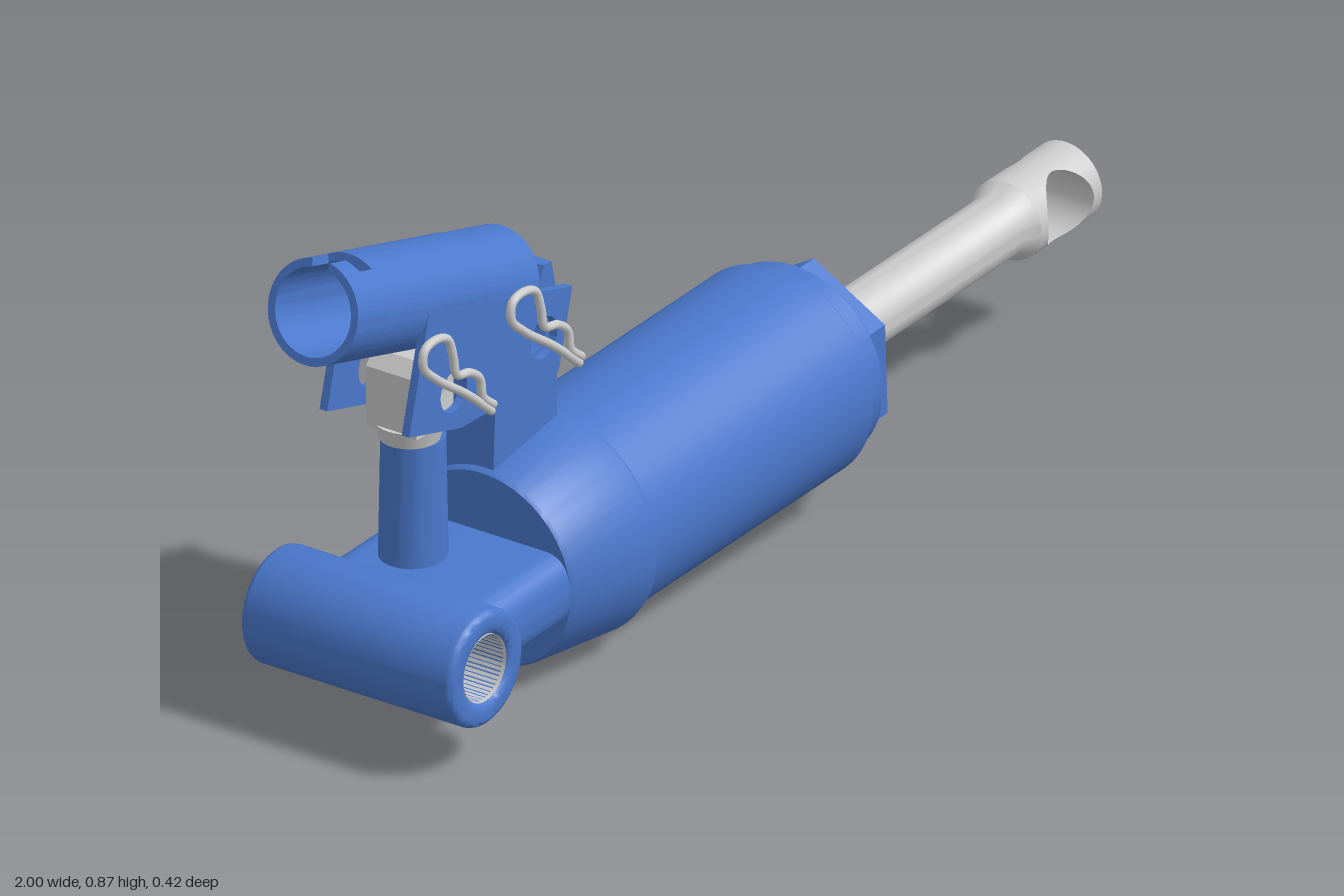
import * as THREE from 'three';
import { toCreasedNormals } from 'three/addons/utils/BufferGeometryUtils.js';
import { ParametricGeometry } from 'three/addons/geometries/ParametricGeometry.js';

const blue = new THREE.MeshStandardMaterial({ color: 0x4a78cc });
const grey = new THREE.MeshStandardMaterial({ color: 0xcccccc });
const greyThin = new THREE.MeshStandardMaterial({ color: 0xcccccc, side: THREE.DoubleSide });

function add(parent, name, geo, mat = blue, crease = 0.6) {
  const mesh = new THREE.Mesh(crease ? toCreasedNormals(geo, crease) : geo, mat);
  mesh.name = name;
  parent.add(mesh);
  return mesh;
}

// Solid of revolution about the x axis from [x, radius] pairs
function turned(profile, segments = 64) {
  const pts = profile.map(([x, r]) => new THREE.Vector2(r, x));
  return new THREE.LatheGeometry(pts, segments).rotateZ(-Math.PI / 2);
}

// Flat polygon with round holes [x, y, r], extruded from z0 to z1
function plate(points, holes, z0, z1) {
  const shape = new THREE.Shape(points.map(([x, y]) => new THREE.Vector2(x, y)));
  for (const [x, y, r] of holes) {
    shape.holes.push(new THREE.Path().absarc(x, y, r, 0, Math.PI * 2, true));
  }
  return new THREE.ExtrudeGeometry(shape, { depth: z1 - z0, bevelEnabled: false, curveSegments: 24 })
    .translate(0, 0, z0);
}

// Curved wall along x, running between two angles
function wall(rOut, rIn, a0, a1, x0, x1) {
  const shape = new THREE.Shape();
  shape.absarc(0, 0, rOut, a0, a1, false);
  shape.absarc(0, 0, rIn, a1, a0, true);
  return new THREE.ExtrudeGeometry(shape, { depth: x1 - x0, bevelEnabled: false, curveSegments: 48 })
    .rotateY(Math.PI / 2).translate(x0, 0, 0);
}

// Cylinder end with a cross hole along z: outer skin left and right of the hole, plus bore
function addRodEye(parent, cx, r, R, left, right) {
  const skin = (sign, len) => new ParametricGeometry((u, v, p) => {
    const a = u * Math.PI * 2, y = r * Math.cos(a);
    const edge = Math.sqrt(Math.max(0, R * R - y * y));
    p.set(cx + sign * (edge + (len - edge) * v), y, r * Math.sin(a));
  }, 96, 4);
  const bore = new ParametricGeometry((u, v, p) => {
    const a = u * Math.PI * 2, y = R * Math.sin(a);
    p.set(cx + R * Math.cos(a), y, (2 * v - 1) * Math.sqrt(r * r - y * y));
  }, 64, 4);
  add(parent, 'rodEyeInner', skin(-1, left), greyThin, 0);
  add(parent, 'rodEyeOuter', skin(1, right), greyThin, 0);
  add(parent, 'rodEyeBore', bore, greyThin, 0);
  add(parent, 'rodEndCap', turned([[cx + right, r], [cx + right + 0.006, r - 0.006], [cx + right + 0.006, 0]]), greyThin);
}

function createCylinder() {
  const g = new THREE.Group();
  g.name = 'hydraulicCylinder';
  g.position.set(-0.865, 0.187, 0);
  g.rotation.z = 0.0436;

  // Cross tube for the rear mounting pin
  const ring = new THREE.Shape().absarc(0, 0, 0.088, 0, Math.PI * 2, false);
  ring.holes.push(new THREE.Path().absarc(0, 0, 0.07, 0, Math.PI * 2, true));
  add(g, 'mountTube', new THREE.ExtrudeGeometry(ring, {
    depth: 0.396, bevelThickness: 0.012, bevelSize: 0.012, bevelSegments: 3, curveSegments: 32,
  }).translate(0, 0, -0.198));
  add(g, 'mountBushing', new THREE.CylinderGeometry(0.058, 0.058, 0.41, 48, 1, true).rotateX(Math.PI / 2), greyThin);

  // Neck with rounded sides, joining the tube to the body
  const neck = new THREE.Shape();
  neck.moveTo(-0.12, -0.064);
  neck.lineTo(0.12, -0.064);
  neck.quadraticCurveTo(0.17, -0.064, 0.17, 0);
  neck.quadraticCurveTo(0.17, 0.064, 0.12, 0.064);
  neck.lineTo(-0.12, 0.064);
  neck.quadraticCurveTo(-0.17, 0.064, -0.17, 0);
  neck.quadraticCurveTo(-0.17, -0.064, -0.12, -0.064);
  add(g, 'neck', new THREE.ExtrudeGeometry(neck, { depth: 0.23, bevelEnabled: false })
    .rotateY(Math.PI / 2).translate(0.07, 0, 0));

  // Conical base, barrel and gland
  add(g, 'barrel', turned([
    [0.28, 0], [0.28, 0.17], [0.287, 0.175], [0.47, 0.2], [0.478, 0.198], [0.478, 0.187],
    [1.078, 0.187], [1.086, 0.18], [1.086, 0.172], [1.125, 0.172], [1.13, 0.168], [1.13, 0],
  ], 80));
  add(g, 'hexNut', new THREE.CylinderGeometry(0.16, 0.16, 0.06, 6)
    .rotateZ(-Math.PI / 2).rotateX(Math.PI / 2).translate(1.15, 0, 0));

  // Piston rod with flared, cross-drilled end
  add(g, 'pistonRod', turned([[1.15, 0], [1.15, 0.055], [1.665, 0.055], [1.695, 0.07]], 48), grey);
  addRodEye(g, 1.775, 0.07, 0.062, 0.08, 0.084);
  return g;
}

function createHandleSocket() {
  const g = new THREE.Group();
  g.name = 'handleSocket';
  g.position.set(-0.98, 0.793, -0.052);
  g.rotation.z = -0.262;
  const R = 0.088, r = 0.074, up = Math.PI / 2;

  // Tube with a T-shaped slot at its open end
  for (const [gap, x0, x1] of [[0.2, 0, 0.045], [0.55, 0.045, 0.08], [0, 0.08, 0.37]]) {
    add(g, 'socketTube', wall(R, r, up + gap, up + Math.PI * 2 - gap, x0, x1));
  }
  // Half-round roof of the channel and its two drilled side plates
  add(g, 'channelRoof', wall(R - 0.001, r - 0.002, 0, Math.PI, 0.37, 0.51));
  const outline = [[0.2, 0], [0.2, -0.208], [0.346, -0.208], [0.602, -0.142], [0.602, 0]];
  const holes = [[0.308, -0.143, 0.036], [0.544, -0.08, 0.036]];
  for (const side of [-1, 1]) {
    const z = side * 0.0815;
    add(g, 'sidePlate', plate(outline, holes, z - 0.0075, z + 0.0075));
  }
  return g;
}

// Spring clip: straight leg, round loop and a leg with a bulge
function createClip(dx, dy) {
  const path = [[-0.65, 0.52], [-0.72, 0.578], [-0.80, 0.635], [-0.835, 0.67], [-0.832, 0.698], [-0.805, 0.706],
    [-0.77, 0.695], [-0.755, 0.66], [-0.745, 0.622], [-0.71, 0.612], [-0.682, 0.59], [-0.674, 0.555], [-0.645, 0.53]];
  const curve = new THREE.CatmullRomCurve3(path.map(([x, y]) => new THREE.Vector3(x + dx, y + dy, 0.061)));
  return new THREE.TubeGeometry(curve, 90, 0.0075, 10);
}

export function createModel() {
  const model = new THREE.Group();
  model.name = 'handPumpRam';
  model.add(createCylinder(), createHandleSocket());

  // Fulcrum post rising from the base
  add(model, 'fulcrumPost', plate([
    [-0.587, 0.28], [-0.41, 0.28], [-0.41, 0.62], [-0.425, 0.685], [-0.445, 0.685],
    [-0.46, 0.655], [-0.5, 0.645], [-0.55, 0.61], [-0.575, 0.53],
  ], [[-0.475, 0.575, 0.036]], -0.12, 0.015));

  // Pump piston: blue sleeve, grey collar and drilled head
  const piston = new THREE.Group();
  piston.name = 'pumpPiston';
  piston.position.set(-0.708, 0, -0.052);
  add(piston, 'pumpSleeve', new THREE.CylinderGeometry(0.053, 0.057, 0.23, 32).translate(0, 0.355, 0));
  add(piston, 'pumpCollar', new THREE.CylinderGeometry(0.058, 0.05, 0.03, 32).translate(-0.01, 0.485, 0), grey);
  add(piston, 'pumpHead', plate([
    [-0.06, 0.495], [0.04, 0.495], [0.04, 0.6], [0.02, 0.625], [-0.04, 0.625], [-0.06, 0.6],
  ], [[-0.012, 0.575, 0.036]], -0.05, 0.05), grey);
  model.add(piston);

  add(model, 'rearClip', createClip(0, 0), grey, 0);
  add(model, 'frontClip', createClip(0.238, -0.008), grey, 0);
  return model;
}
